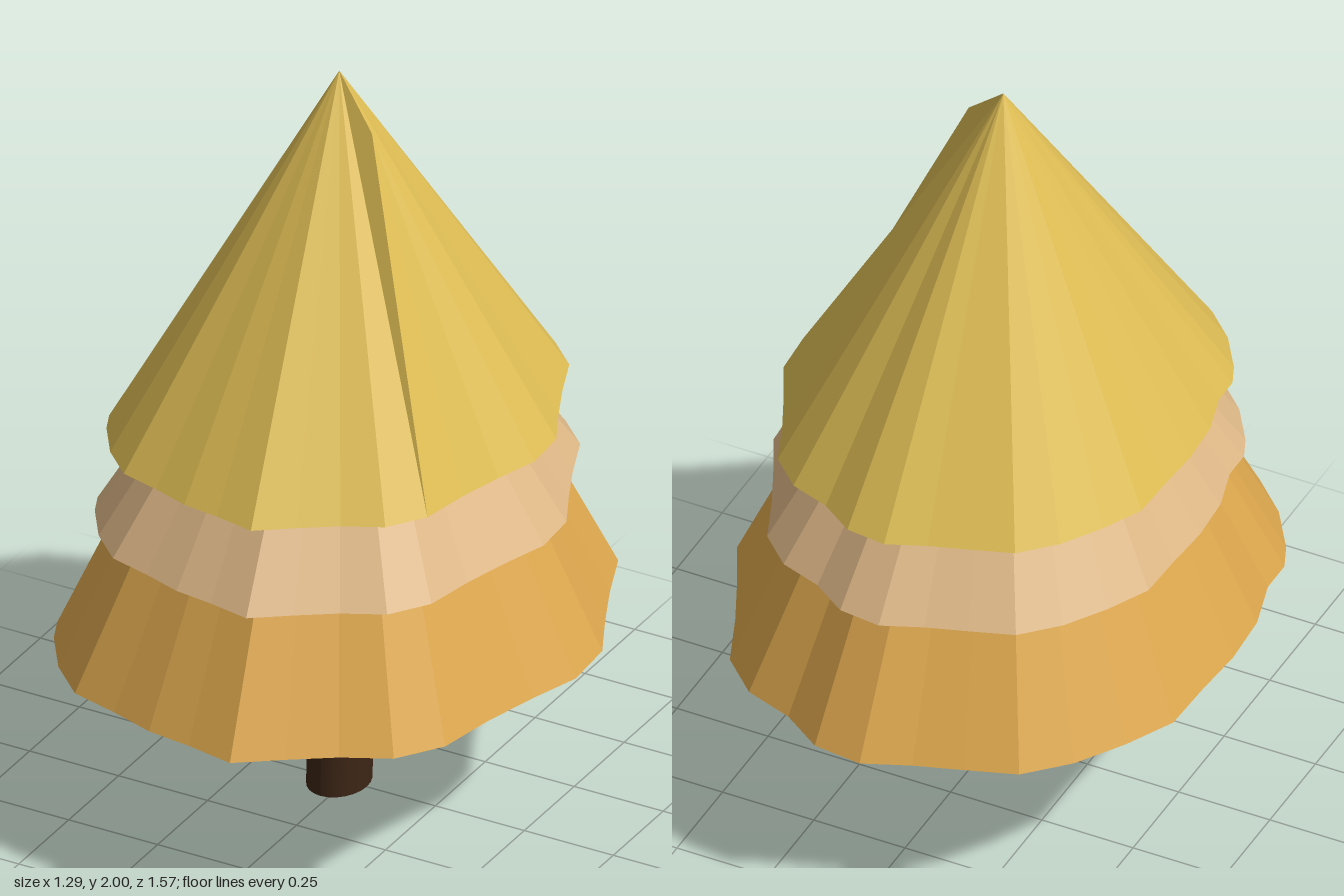
import * as THREE from 'three';

// Wavy skirt outline (x, z), clockwise seen from above
const OUTLINE = [
  [-0.02, -0.79], [0.11, -0.775], [0.22, -0.70], [0.35, -0.655], [0.45, -0.56], [0.51, -0.41],
  [0.57, -0.28], [0.635, -0.15], [0.645, 0], [0.60, 0.14], [0.56, 0.29], [0.53, 0.45],
  [0.45, 0.565], [0.33, 0.625], [0.22, 0.70], [0.11, 0.78], [-0.02, 0.755], [-0.14, 0.74],
  [-0.26, 0.70], [-0.39, 0.665], [-0.49, 0.57], [-0.57, 0.45], [-0.60, 0.38], [-0.60, 0.29],
  [-0.64, 0.15], [-0.65, 0], [-0.64, -0.15], [-0.635, -0.30], [-0.57, -0.43], [-0.49, -0.555],
  [-0.39, -0.655], [-0.26, -0.70], [-0.14, -0.74],
];
const AXIS_X = -0.02;
const RIDGE = 10; // spoke that may carry a raised knuckle

// Hollow cone: outer spokes, flat rim underneath, elliptical inner cone
function tier(name, color, scale, baseY, tipY, knuckle) {
  const pos = [];
  const tri = (...corners) => corners.forEach((c) => pos.push(...c));
  const tip = [AXIS_X, tipY, 0];
  const innerTip = [AXIS_X, tipY - 0.3, 0];
  const n = OUTLINE.length;
  const outer = OUTLINE.map(([x, z]) => [x * scale, baseY, z * scale]);
  const inner = OUTLINE.map(([x, z]) => {
    const a = Math.atan2(z / 0.78, x / 0.645);
    return [0.48 * scale * Math.cos(a), baseY, 0.58 * scale * Math.sin(a)];
  });
  for (let i = 0; i < n; i++) {
    const j = (i + 1) % n;
    tri(tip, outer[j], outer[i]);
    tri(outer[i], outer[j], inner[j]);
    tri(outer[i], inner[j], inner[i]);
    tri(innerTip, inner[i], inner[j]);
  }
  // Raised ridge running from the knuckle down its spoke
  if (knuckle) {
    const [before, base, after] = [outer[RIDGE - 1], outer[RIDGE], outer[RIDGE + 1]];
    tri(tip, knuckle, before);
    tri(knuckle, base, before);
    tri(tip, after, knuckle);
    tri(knuckle, after, base);
  }
  const geometry = new THREE.BufferGeometry();
  geometry.setAttribute('position', new THREE.Float32BufferAttribute(pos, 3));
  geometry.computeVertexNormals();
  const mesh = new THREE.Mesh(geometry, new THREE.MeshStandardMaterial({ color, flatShading: true }));
  mesh.name = name;
  return mesh;
}

export function createModel() {
  const tree = new THREE.Group();
  tree.name = 'tree';

  // Oval trunk with a very slight bow
  const trunkGeometry = new THREE.CylinderGeometry(1, 1, 1.1, 24, 6);
  trunkGeometry.scale(0.077, 1, 0.095);
  trunkGeometry.translate(AXIS_X, 0.55, 0);
  const p = trunkGeometry.attributes.position;
  for (let i = 0; i < p.count; i++) {
    p.setX(i, p.getX(i) + 0.006 * Math.sin(p.getY(i) * 5));
  }
  trunkGeometry.computeVertexNormals();
  const trunk = new THREE.Mesh(trunkGeometry, new THREE.MeshStandardMaterial({ color: 0x3d2616 }));
  trunk.name = 'trunk';
  tree.add(trunk);

  // Foliage tiers
  tree.add(tier('lowerFoliage', 0xdea84e, 1, 0.47, 1.94));
  tree.add(tier('middleFoliage', 0xdeb887, 0.86, 0.82, 1.74));
  tree.add(tier('upperFoliage', 0xdebd54, 0.82, 1.05, 2, [0.10, 1.88, 0.05]));
  return tree;
}
